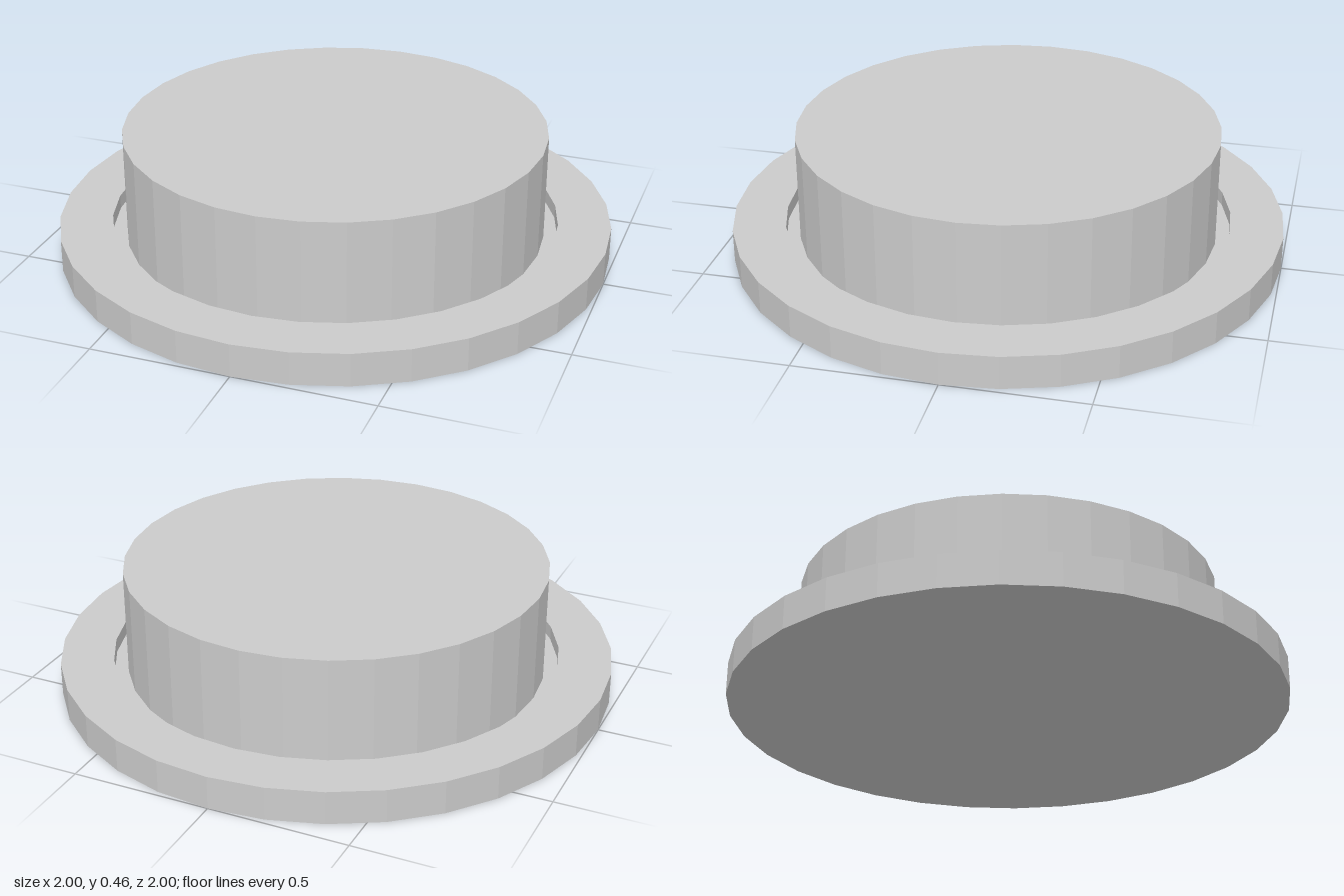
import * as THREE from 'three';

const SIDES = 32;
const RIM_TOP = 0.12;
const FLOOR = 0.07;
const BUTTON_TOP = 0.46;

export function createModel() {
  const group = new THREE.Group();
  group.name = 'pushButton';
  const material = new THREE.MeshStandardMaterial({ color: 0xcccccc, flatShading: true });

  // Base plate: a flat disc with a raised rim around a shallow recess
  const profile = [
    [0, 0], [1, 0], [1, RIM_TOP], [0.81, RIM_TOP], [0.81, FLOOR], [0, FLOOR],
  ].map(([r, y]) => new THREE.Vector2(r, y));
  const base = new THREE.Mesh(new THREE.LatheGeometry(profile, SIDES), material);
  base.name = 'basePlate';
  group.add(base);

  // Button: a plain drum standing in the recess, leaving a narrow gap
  const height = BUTTON_TOP - FLOOR;
  const button = new THREE.Mesh(new THREE.CylinderGeometry(0.76, 0.76, height, SIDES), material);
  button.name = 'button';
  button.position.y = FLOOR + height / 2;
  group.add(button);

  return group;
}
